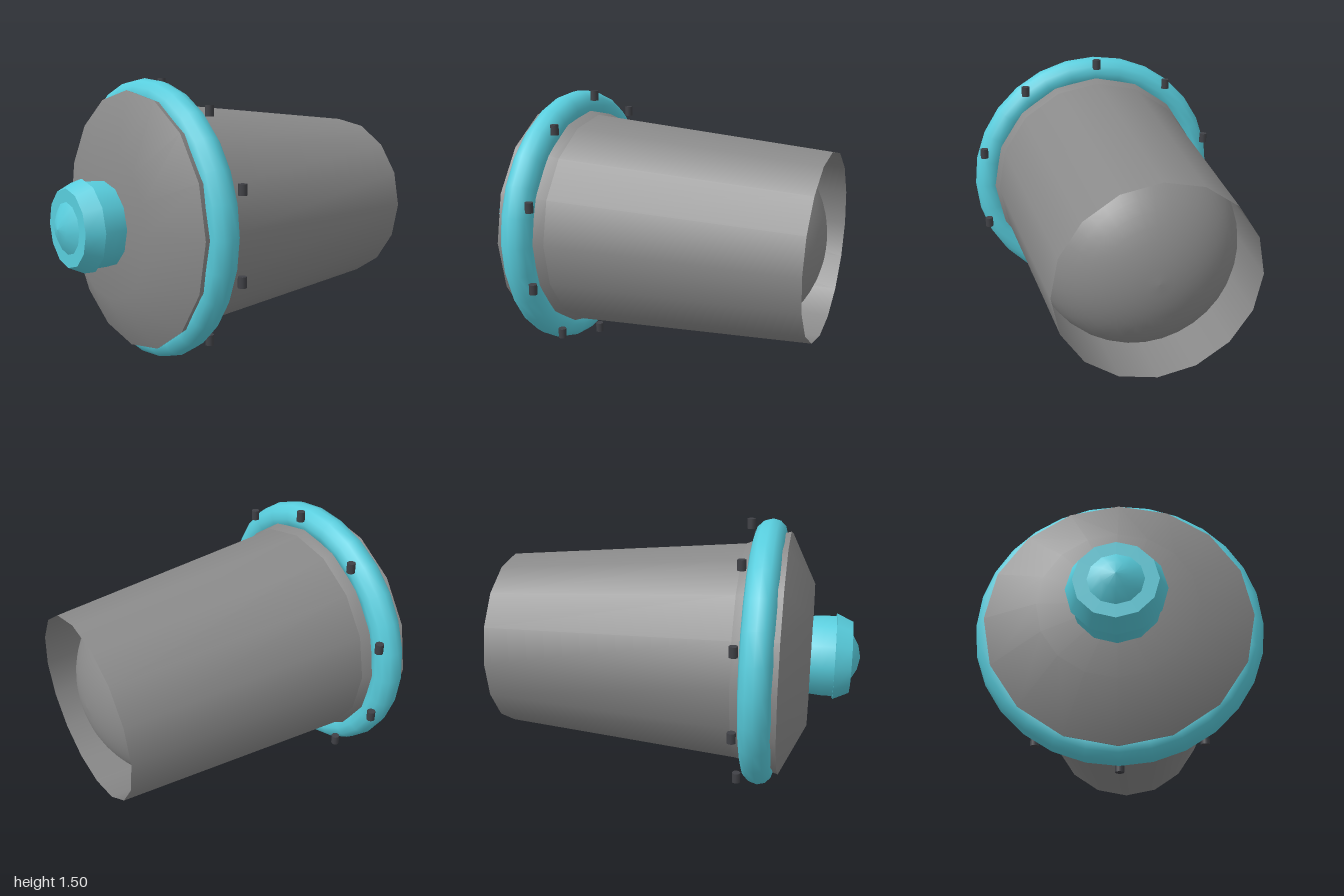
import * as THREE from 'three';

export function createModel() {
  const model = new THREE.Group();
  const AXIS_Y = 0.754;

  const material = (name, color, side = THREE.FrontSide) => {
    const m = new THREE.MeshStandardMaterial({ color, side });
    m.name = name;
    return m;
  };
  const grey = material('grey metal', 0x8a8a8a, THREE.DoubleSide);
  const teal = material('teal trim', 0x58cddd, THREE.DoubleSide);
  const dark = material('dark bolt', 0x404146);

  // Everything turned is made upright, then laid along x
  const body = new THREE.Group();
  body.name = 'turnedBody';
  body.rotation.z = -Math.PI / 2;
  body.position.y = AXIS_Y;
  model.add(body);

  // Profile points are [radius, position along x], from -x to +x
  function turned(name, profile, sides, mat) {
    const points = profile.map(([r, x]) => new THREE.Vector2(r, x));
    const mesh = new THREE.Mesh(new THREE.LatheGeometry(points, sides), mat);
    mesh.name = name;
    body.add(mesh);
  }

  // Front bell and its shoulder, hidden under the ring
  turned('bellFront', [[0, -0.735], [0.4, -0.73], [0.685, -0.59]], 16, grey);
  turned('bellShoulder', [[0.685, -0.59], [0.632, -0.4], [0.613, -0.35]], 16, grey);

  // Tapered open shell with a rounded core inside
  turned('shell', [[0.613, -0.35], [0.505, 1]], 16, grey);
  const dome = [];
  for (let i = 0; i <= 12; i++) {
    const a = (i / 12) * Math.PI / 2;
    dome.push([0.53 * Math.cos(a), 0.54 + 0.45 * Math.sin(a)]);
  }
  turned('innerDome', dome, 32, grey);

  // Ring round the shoulder
  const ring = new THREE.Mesh(new THREE.TorusGeometry(0.663, 0.084, 12, 28), teal);
  ring.name = 'ring';
  ring.rotation.x = Math.PI / 2;
  ring.position.y = -0.48;
  body.add(ring);

  // Stepped knob at the front
  turned('knobTip', [[0, -1], [0.07, -0.985], [0.14, -0.945]], 12, teal);
  turned('knobFace', [[0.13, -0.948], [0.203, -0.948]], 12, teal);
  turned('knobCollar', [[0.203, -0.948], [0.245, -0.86]], 12, teal);
  turned('knobStep', [[0.245, -0.86], [0.228, -0.86]], 12, teal);
  turned('knobNeck', [[0.228, -0.86], [0.228, -0.79], [0.222, -0.725]], 12, teal);

  // Ten upright bolts behind the ring
  const boltShape = new THREE.CylinderGeometry(0.023, 0.023, 0.055, 10);
  for (let i = 0; i < 10; i++) {
    const a = (i / 10) * Math.PI * 2;
    const bolt = new THREE.Mesh(boltShape, dark);
    bolt.name = 'bolt';
    bolt.position.set(-0.375, AXIS_Y + 0.722 * Math.cos(a), 0.722 * Math.sin(a));
    model.add(bolt);
  }

  return model;
}
